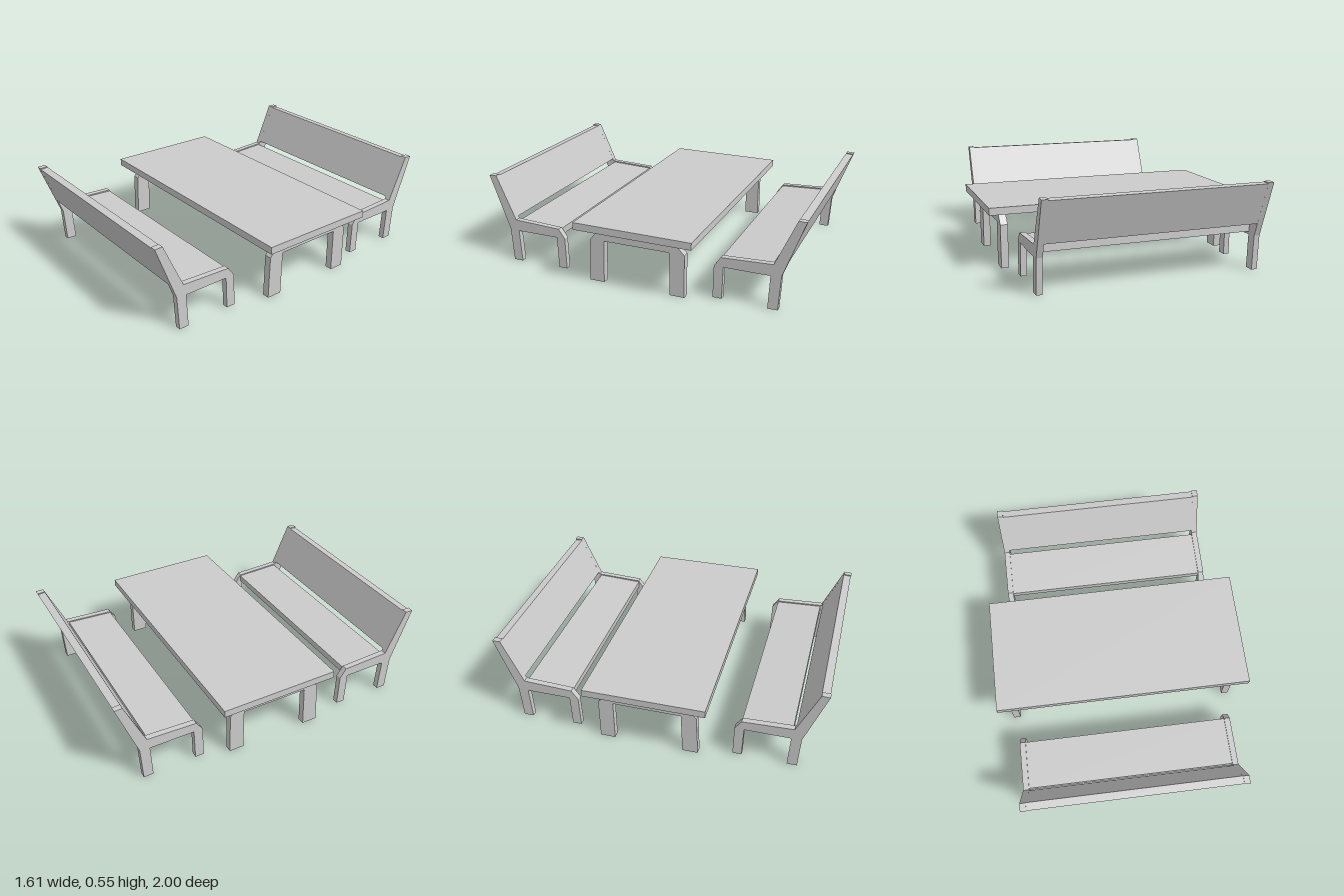
import * as THREE from 'three';

const material = new THREE.MeshStandardMaterial({ color: 0xcccccc, flatShading: true });

// Extrude a side profile of [z, y] points along x from x0 to x1
function slab(name, profile, x0, x1) {
  const shape = new THREE.Shape(profile.map(([z, y]) => new THREE.Vector2(z, y)));
  const geometry = new THREE.ExtrudeGeometry(shape, { depth: x1 - x0, bevelEnabled: false });
  geometry.rotateY(-Math.PI / 2).translate(x1, 0, 0);
  const mesh = new THREE.Mesh(geometry, material);
  mesh.name = name;
  return mesh;
}

// Side frame of a bench: both legs, seat rail and raked back post
const benchFrame = [
  [0.865, 0], [0.877, 0.21], [1.0, 0.548], [0.952, 0.55], [0.83, 0.275],
  [0.525, 0.262], [0.485, 0.205], [0.48, 0.005], [0.535, 0.005], [0.541, 0.204],
  [0.815, 0.204], [0.805, 0],
];
const benchSeat = [[0.525, 0.21], [0.822, 0.224], [0.82, 0.267], [0.523, 0.254]];
const benchBack = [[0.837, 0.29], [0.906, 0.29], [0.997, 0.541], [0.95, 0.545]];

// Arch-shaped table leg frame with chamfered shoulders
const tableFrame = [
  [0.28, 0], [0.27, 0.265], [0.2, 0.346], [-0.26, 0.346], [-0.332, 0.265],
  [-0.332, 0], [-0.24, 0], [-0.24, 0.268], [0.176, 0.268], [0.185, 0],
];
const tableTop = [[-0.405, 0.344], [0.335, 0.347], [0.335, 0.392], [-0.405, 0.388]];

function bench(name, side) {
  const group = new THREE.Group();
  group.name = name;
  const place = (profile) => profile.map(([z, y]) => [z * side, y]);
  group.add(
    slab('rightSideFrame', place(benchFrame), -0.692, -0.656),
    slab('leftSideFrame', place(benchFrame), 0.624, 0.66),
    slab('seat', place(benchSeat), -0.656, 0.624),
    slab('backrest', place(benchBack), -0.656, 0.624),
  );
  return group;
}

export function createModel() {
  const model = new THREE.Group();
  model.name = 'tableWithBenches';

  const table = new THREE.Group();
  table.name = 'table';
  table.add(
    slab('tableTop', tableTop, -0.808, 0.805),
    slab('rightLegFrame', tableFrame, -0.743, -0.698),
    slab('leftLegFrame', tableFrame, 0.681, 0.726),
  );

  model.add(table, bench('frontBench', 1), bench('backBench', -1));
  return model;
}
